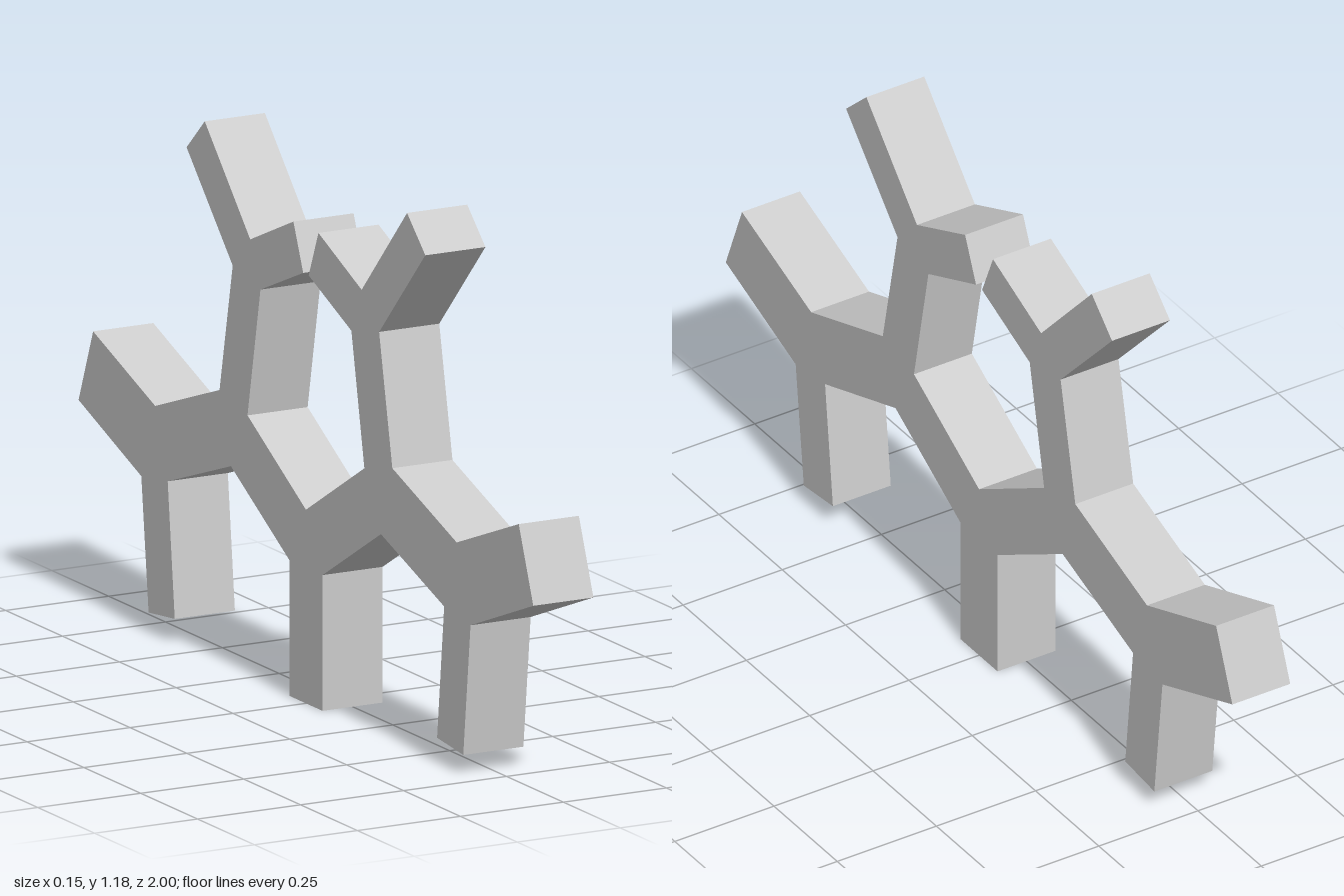
import * as THREE from 'three';

const THICKNESS = 0.146;

// Half outline (z, y), from the trunk foot round every branch to the centre fork
const HALF = [
  [0.073, 0], [0.073, 0.298], // trunk
  [0.33, 0.446], [0.608, 0.35], // underside of the lower bough
  [0.577, 0.055], [0.692, 0.043], [0.724, 0.335], // hanging leg
  [1, 0.44], [0.936, 0.605], [0.663, 0.503], // outer arm
  [0.38, 0.602], [0.322, 0.888], // outside of the upright
  [0.525, 1.102], [0.445, 1.177], [0.245, 0.963], // upper outer twig
  [0.055, 1.045], [0.012, 0.942], [0.2, 0.863], // upper inner twig
  [0.257, 0.574], // inside of the upright
];

export function createModel() {
  const group = new THREE.Group();
  group.name = 'branchingStand';

  // Mirror the half outline about the centre line
  const mirrored = HALF.map(([z, y]) => [-z, y]).reverse();
  const outline = [...HALF, [0, 0.425], ...mirrored];
  const shape = new THREE.Shape(outline.map(([z, y]) => new THREE.Vector2(z, y)));

  // Flat slab, extruded across x
  const geometry = new THREE.ExtrudeGeometry(shape, { depth: THICKNESS, bevelEnabled: false });
  geometry.translate(0, 0, -THICKNESS / 2);
  geometry.rotateY(-Math.PI / 2);

  const material = new THREE.MeshStandardMaterial({ color: 0xcccccc, flatShading: true });
  const frame = new THREE.Mesh(geometry, material);
  frame.name = 'branchFrame';
  group.add(frame);
  return group;
}
